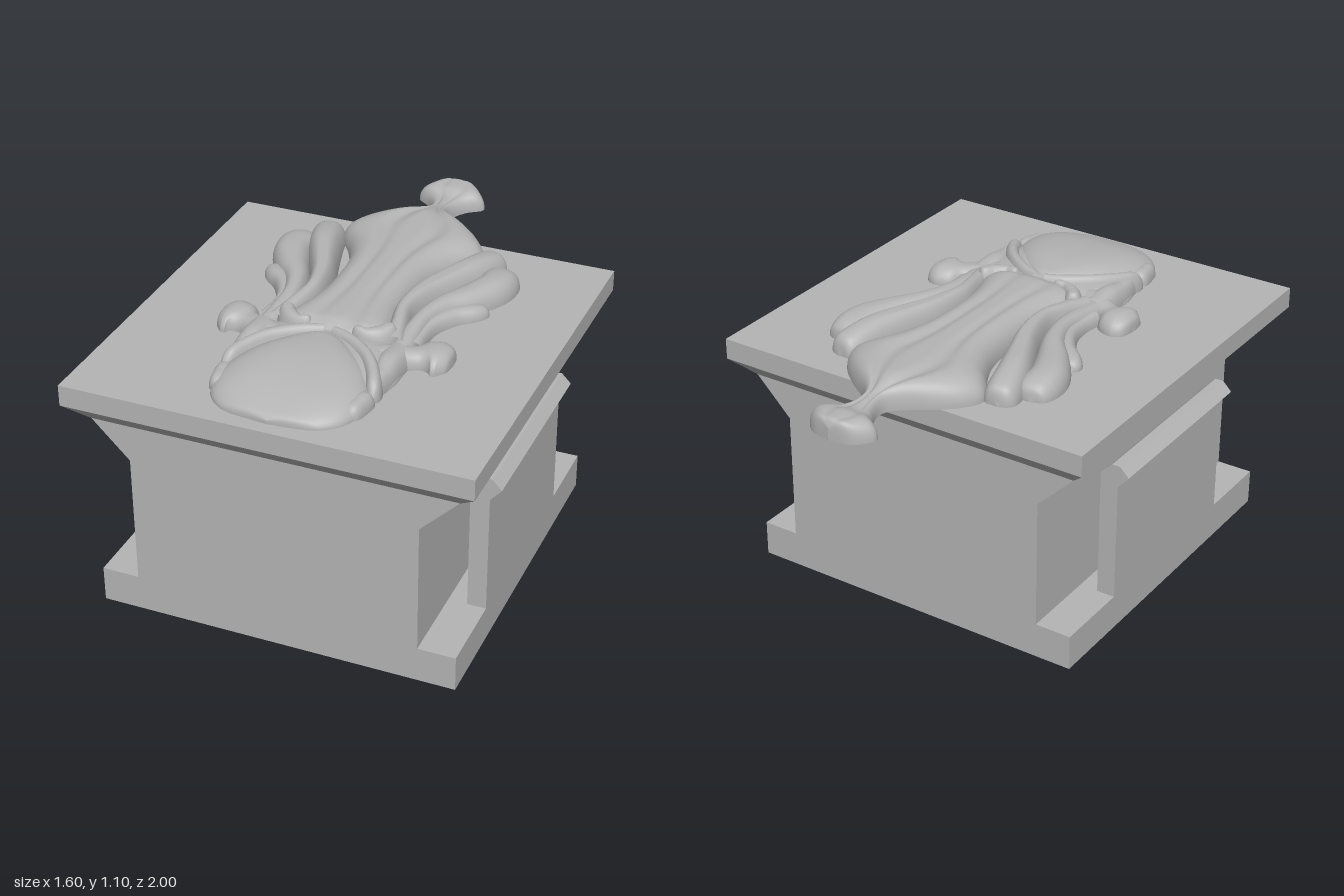
import * as THREE from 'three';

const TOP = 0.99;      // top of the slab, where the relief lies
const FLAT = 0.107;    // the relief is shaved flat at this height

// Low carved ridge: stations [x, z, halfWidth, height] along a path, flat underneath.
function ridge(name, stations, material, { rows = 60, cols = 28, power = 2.6, carve = () => 1 } = {}) {
  const spine = new THREE.CatmullRomCurve3(stations.map(([x, z, , h]) => new THREE.Vector3(x, h, z)), false, 'catmullrom', 0.5);
  const width = new THREE.CatmullRomCurve3(stations.map(s => new THREE.Vector3(s[2], 0, 0)), false, 'catmullrom', 0.5);
  const pos = [], idx = [];
  for (let i = 0; i <= rows; i++) {
    const u = i / rows, c = spine.getPoint(u), d = spine.getTangent(u);
    const w = Math.max(0, width.getPoint(u).x), h = Math.max(0, c.y);
    const len = Math.hypot(d.x, d.z) || 1, nx = -d.z / len, nz = d.x / len;
    for (let j = 0; j <= cols; j++) {
      const t = -Math.cos(Math.PI * j / cols);
      const dome = Math.pow(Math.max(0, 1 - Math.pow(Math.abs(t), power)), 0.5);
      const x = c.x + nx * t * w, z = c.z + nz * t * w;
      pos.push(x, TOP + Math.min(FLAT, h * dome * carve(t, u)), z);
    }
  }
  const n = (rows + 1) * (cols + 1);
  for (let k = 0; k < n; k++) pos.push(pos[k * 3], TOP, pos[k * 3 + 2]);
  for (let i = 0; i < rows; i++) for (let j = 0; j < cols; j++) {
    const a = i * (cols + 1) + j, b = a + 1, c = a + cols + 1, e = c + 1;
    idx.push(a, b, c, b, e, c);                              // carved top
    idx.push(n + a, n + c, n + b, n + b, n + c, n + e);      // flat underside
  }
  const g = new THREE.BufferGeometry();
  g.setAttribute('position', new THREE.Float32BufferAttribute(pos, 3));
  g.setIndex(idx);
  g.computeVertexNormals();
  const mesh = new THREE.Mesh(g, material);
  mesh.name = name;
  return mesh;
}

// Prism with a front profile, running from z0 to z1
function prism(name, points, z0, z1, material) {
  const shape = new THREE.Shape(points.map(([x, y]) => new THREE.Vector2(x, y)));
  const g = new THREE.ExtrudeGeometry(shape, { depth: z1 - z0, bevelEnabled: false });
  g.translate(0, 0, z0);
  const mesh = new THREE.Mesh(g, material);
  mesh.name = name;
  return mesh;
}

export function createModel() {
  const model = new THREE.Group();
  model.name = 'carvedTopPedestal';
  const grey = new THREE.MeshStandardMaterial({ color: 0xb4b4b4 });
  grey.name = 'stone grey';

  // Body: wide foot, narrow core, flared shoulders
  const half = [[0.72, 0], [0.72, 0.145], [0.57, 0.145], [0.57, 0.675], [0.72, 0.825]];
  model.add(prism('body', [...half, ...half.map(([x, y]) => [-x, y]).reverse()], -0.52, 0.92, grey));

  // Chamfered collar below the slab
  const collarGeo = new THREE.BoxGeometry(1.6, 0.08, 1.6);
  const p = collarGeo.attributes.position;
  for (let i = 0; i < p.count; i++) if (p.getY(i) < 0) p.setXYZ(i, p.getX(i) * 0.9, p.getY(i), p.getZ(i) * 0.9);
  const flat = collarGeo.toNonIndexed();
  flat.computeVertexNormals();
  const collar = new THREE.Mesh(flat, grey);
  collar.name = 'collar';
  collar.position.set(0, 0.865, 0.2);
  const slab = new THREE.Mesh(new THREE.BoxGeometry(1.6, 0.085, 1.6), grey);
  slab.name = 'topSlab';
  slab.position.set(0, 0.9475, 0.2);
  model.add(collar, slab);

  // Spring clips standing on the foot at each side
  const clip = [[0.645, 0.145], [0.72, 0.145], [0.72, 0.635], [0.765, 0.687], [0.727, 0.725], [0.693, 0.725], [0.645, 0.678]];
  model.add(prism('leftClip', clip, -0.2, 0.6, grey));
  model.add(prism('rightClip', clip.map(([x, y]) => [-x, y]).reverse(), -0.2, 0.6, grey));

  const relief = new THREE.Group();
  relief.name = 'relief';
  model.add(relief);

  // Central leaf with a rounded tail tip and a shallow vein on either side of the midrib
  relief.add(ridge('centralLeaf', [
    [0, -1, 0, 0.05], [0, -0.985, 0.075, 0.08], [0, -0.95, 0.12, 0.083], [0, -0.9, 0.142, 0.08], [0, -0.85, 0.085, 0.065],
    [0, -0.79, 0.05, 0.065], [0, -0.73, 0.048, 0.075], [0, -0.68, 0.09, 0.09], [0, -0.62, 0.175, 0.105],
    [0, -0.55, 0.255, 0.11], [0, -0.48, 0.297, 0.112], [0, -0.42, 0.285, 0.112], [0, -0.33, 0.225, 0.112],
    [0, -0.22, 0.18, 0.112], [0, -0.08, 0.163, 0.112], [0, 0.08, 0.165, 0.11], [0, 0.2, 0.19, 0.11],
    [0, 0.29, 0.22, 0.108], [0, 0.34, 0.2, 0.1], [0, 0.385, 0.1, 0.07], [0, 0.39, 0, 0],
  ], grey, {
    rows: 110, cols: 44, power: 4,
    carve: (t, u) => 1 - 0.16 * Math.sin(Math.PI * u) * Math.exp(-(((Math.abs(t) - 0.32) / 0.13) ** 2)),
  }));

  // Side leaves, ears and curls, mirrored
  const sideParts = {
    OuterLeaf: [[0.44, -0.375, 0, 0], [0.437, -0.36, 0.055, 0.05], [0.427, -0.31, 0.08, 0.075], [0.42, -0.22, 0.08, 0.085],
      [0.37, -0.11, 0.07, 0.085], [0.305, 0, 0.052, 0.085], [0.27, 0.12, 0.042, 0.08], [0.265, 0.25, 0.045, 0.07], [0.27, 0.36, 0.05, 0.06]],
    InnerLeaf: [[0.36, -0.47, 0, 0], [0.357, -0.455, 0.05, 0.06], [0.345, -0.41, 0.07, 0.085], [0.315, -0.3, 0.07, 0.105],
      [0.265, -0.17, 0.06, 0.11], [0.215, -0.04, 0.05, 0.11], [0.19, 0.1, 0.04, 0.105], [0.21, 0.22, 0.04, 0.095], [0.24, 0.34, 0.045, 0.08]],
    LowerLeaf: [[0.445, -0.1, 0, 0], [0.437, -0.085, 0.035, 0.035], [0.41, -0.045, 0.045, 0.05], [0.35, 0.02, 0.04, 0.055],
      [0.305, 0.11, 0.035, 0.055], [0.295, 0.2, 0.03, 0.05], [0.3, 0.3, 0.035, 0.05]],
    Ear: [[0.47, 0.33, 0, 0], [0.46, 0.33, 0.06, 0.045], [0.425, 0.33, 0.095, 0.066], [0.385, 0.335, 0.09, 0.068],
      [0.34, 0.355, 0.055, 0.06], [0.27, 0.39, 0.06, 0.07], [0.2, 0.42, 0.06, 0.07]],
    Curl: [[0.225, 0.27, 0, 0], [0.215, 0.285, 0.035, 0.1], [0.185, 0.33, 0.045, 0.106], [0.14, 0.36, 0.035, 0.104], [0.09, 0.355, 0.025, 0.1], [0.07, 0.35, 0, 0]],
    BrowFold: [[0.02, 0.385, 0.03, 0.1], [0.1, 0.42, 0.035, 0.102], [0.19, 0.49, 0.035, 0.1], [0.25, 0.57, 0.035, 0.09], [0.285, 0.65, 0.03, 0.07], [0.29, 0.7, 0, 0]],
    CheekFold: [[0.27, 0.36, 0.06, 0.07], [0.27, 0.46, 0.055, 0.08], [0.275, 0.54, 0.045, 0.07], [0.27, 0.64, 0.03, 0.06], [0.27, 0.66, 0, 0]],
    ScallopFold: [[0.28, 0.66, 0, 0], [0.275, 0.69, 0.035, 0.05], [0.267, 0.75, 0.038, 0.055], [0.258, 0.8, 0.032, 0.045], [0.255, 0.83, 0, 0]],
  };
  for (const [part, stations] of Object.entries(sideParts)) {
    relief.add(ridge('left' + part, stations, grey));
    relief.add(ridge('right' + part, stations.map(([x, ...rest]) => [-x, ...rest]), grey));
  }

  // Collar of the head, lying below the dome
  relief.add(ridge('headCollar', [
    [0, 0.3, 0, 0], [0, 0.32, 0.22, 0.06], [0, 0.4, 0.31, 0.078], [0, 0.5, 0.325, 0.082], [0, 0.58, 0.315, 0.08],
    [0, 0.66, 0.295, 0.075], [0, 0.75, 0.27, 0.06], [0, 0.8, 0, 0],
  ], grey, { power: 3.5, cols: 36 }));

  // Rounded head dome at the front end
  relief.add(ridge('headDome', [
    [0, 0.4, 0, 0.06], [0, 0.42, 0.07, 0.09], [0, 0.48, 0.16, 0.1], [0, 0.56, 0.235, 0.105], [0, 0.64, 0.275, 0.103],
    [0, 0.72, 0.292, 0.095], [0, 0.79, 0.285, 0.083], [0, 0.85, 0.262, 0.066], [0, 0.9, 0.215, 0.048],
    [0, 0.93, 0.15, 0.034], [0, 0.948, 0, 0.015],
  ], grey, { rows: 80, cols: 40, power: 3.2 }));

  return model;
}
